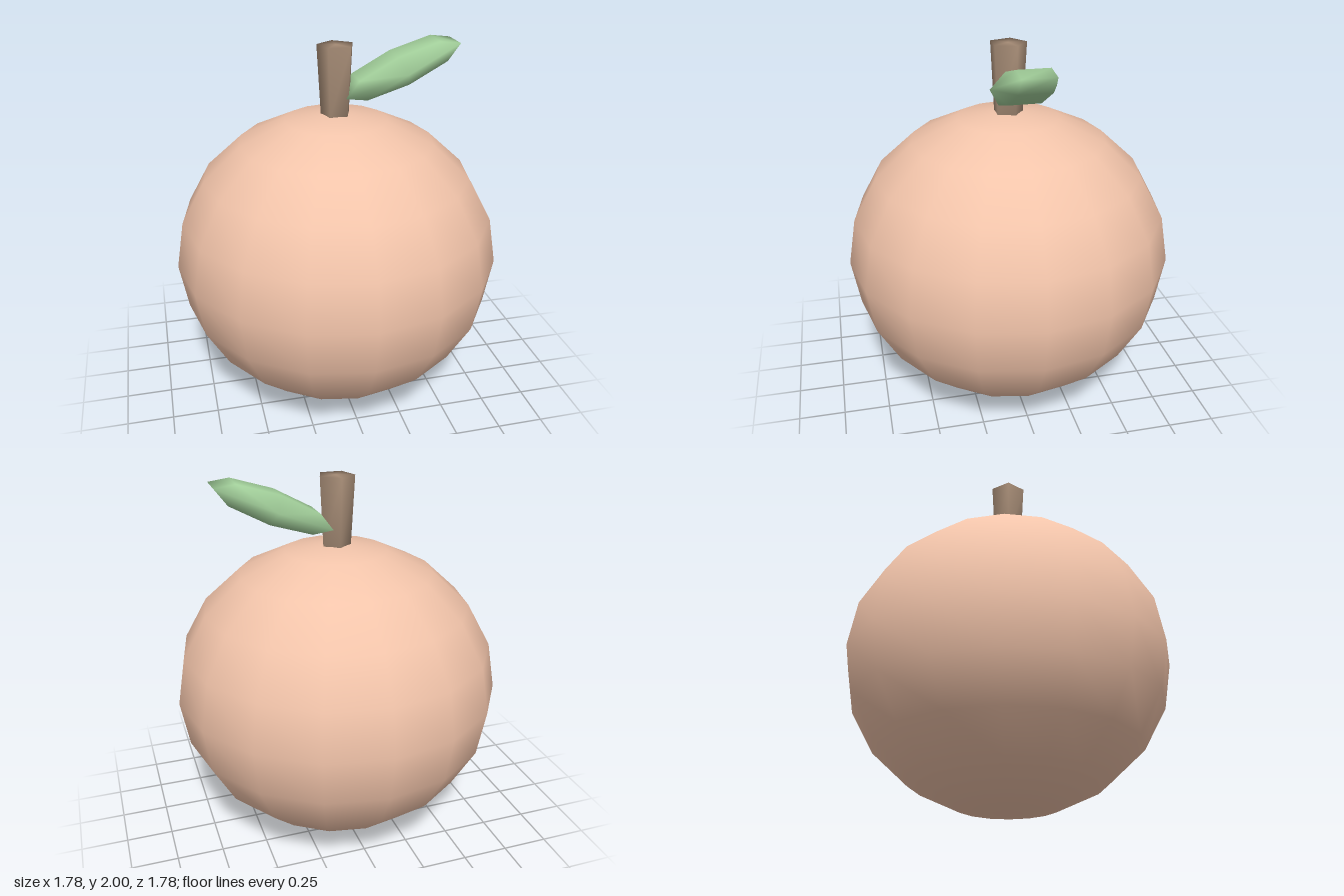
import * as THREE from 'three';
import { mergeVertices } from 'three/addons/utils/BufferGeometryUtils.js';

// Weld every corner so the low-poly shapes shade smoothly all round
function smooth(geometry) {
  geometry.deleteAttribute('uv');
  geometry.deleteAttribute('normal');
  const welded = mergeVertices(geometry, 1e-4);
  welded.computeVertexNormals();
  return welded;
}

function addPart(group, name, geometry, color) {
  const mesh = new THREE.Mesh(smooth(geometry), new THREE.MeshStandardMaterial({ color }));
  mesh.name = name;
  group.add(mesh);
  return mesh;
}

export function createModel() {
  const group = new THREE.Group();
  group.name = 'fruit';

  // Slightly squashed round body
  const body = new THREE.SphereGeometry(1, 16, 10).scale(0.89, 0.818, 0.89);
  addPart(group, 'body', body, 0xf2c4aa).position.y = 0.822;

  // Five-sided stem, wider at the top, with one corner to the back
  const stem = new THREE.CylinderGeometry(0.1, 0.08, 0.375, 5, 1, false, Math.PI);
  addPart(group, 'stem', stem, 0xa68c76).position.y = 1.8075;

  // Flattened leaf: a coarse ellipsoid with its poles on the z axis, tilted up
  const leaf = new THREE.SphereGeometry(1, 8, 3)
    .rotateX(Math.PI / 2)
    .scale(0.38, 0.092, 0.165)
    .rotateZ(0.4);
  addPart(group, 'leaf', leaf, 0xa3d09b).position.set(0.342, 1.857, 0);

  return group;
}
